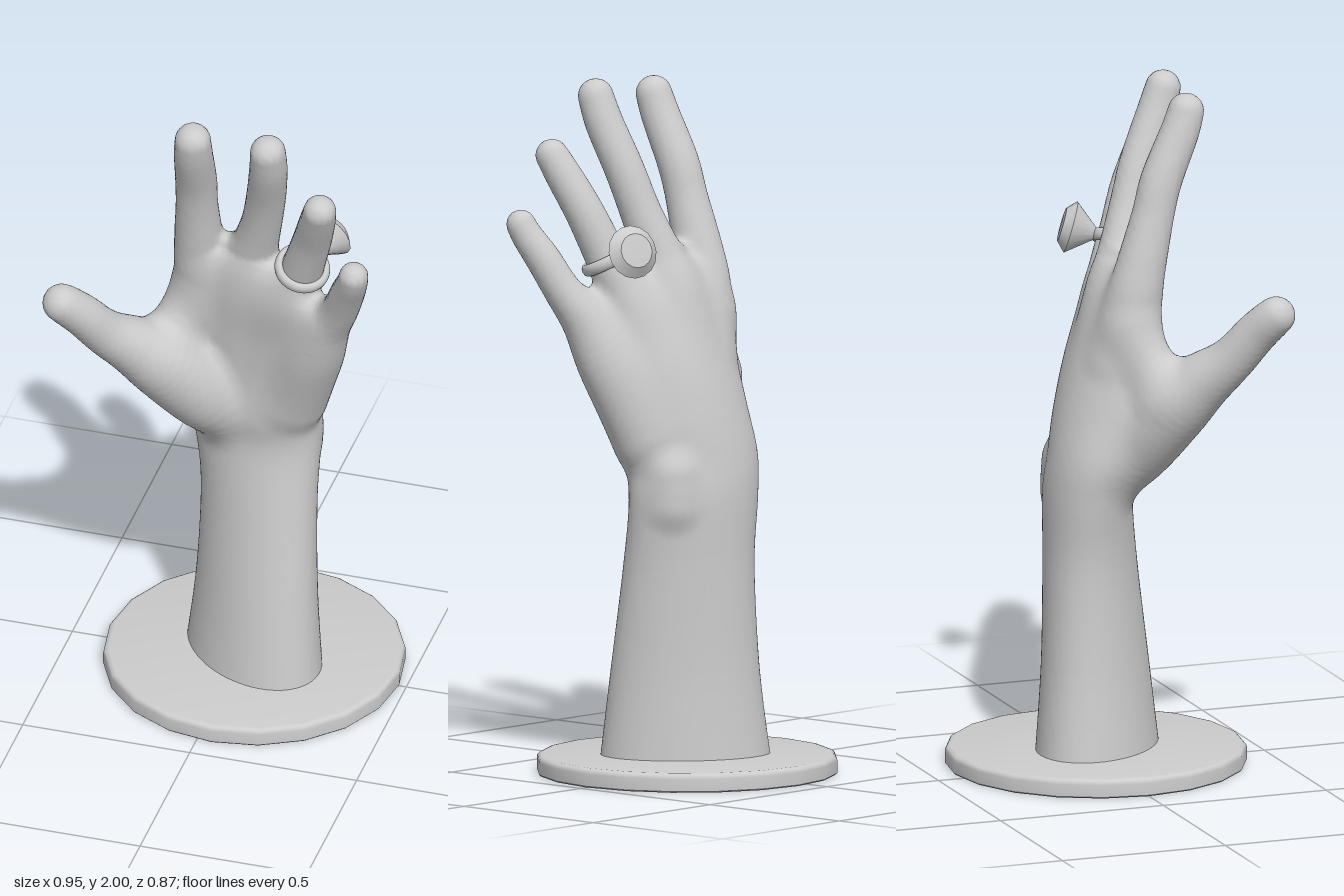
import * as THREE from 'three';
import { toCreasedNormals } from 'three/addons/utils/BufferGeometryUtils.js';

const material = new THREE.MeshStandardMaterial({ color: 0xcccccc });

// Forearm, wrist and palm as level sections: y, centre x, half width, centre z, half depth, skew, arch
const ARM = [
  [0.02, 0.047, 0.219, 0.005, 0.192, 0.075, 0],
  [0.3, 0.054, 0.193, 0, 0.165, 0.062, 0],
  [0.6, 0.055, 0.183, -0.015, 0.143, 0.045, 0],
  [0.8, 0.046, 0.198, -0.025, 0.133, 0.033, 0],
  [0.92, 0.035, 0.208, -0.011, 0.135, 0.033, 0.01],
  [1.05, 0.055, 0.222, 0.006, 0.125, 0.035, 0.025],
  [1.2, 0.075, 0.245, 0.034, 0.111, 0.042, 0.05],
  [1.34, 0.075, 0.225, 0.07, 0.096, 0.05, 0.045],
  [1.43, 0.058, 0.17, 0.087, 0.074, 0.035, 0.03],
  [1.48, 0.047, 0.11, 0.092, 0.048, 0.02, 0.015],
  [1.5, 0.045, 0.05, 0.092, 0.022, 0.01, 0]
];

// Rounded limbs merged into the palm: x, y, z, radius from root to tip
const LIMBS = {
  indexFinger: [
    [-0.07, 1.22, 0.03, 0.07], [-0.092, 1.38, 0.06, 0.079], [-0.095, 1.5, 0.087, 0.071], [-0.09, 1.64, 0.124, 0.061],
    [-0.084, 1.74, 0.152, 0.06], [-0.075, 1.87, 0.21, 0.056], [-0.07, 1.934, 0.233, 0.052]],
  middleFinger: [
    [0.03, 1.2, 0.03, 0.07], [0.045, 1.38, 0.055, 0.079], [0.072, 1.5, 0.09, 0.068], [0.105, 1.62, 0.127, 0.059],
    [0.13, 1.74, 0.166, 0.057], [0.153, 1.87, 0.222, 0.055], [0.16, 1.948, 0.25, 0.051]],
  ringFinger: [
    [0.12, 1.15, 0.045, 0.07], [0.175, 1.33, 0.085, 0.074], [0.212, 1.43, 0.117, 0.066], [0.24, 1.52, 0.15, 0.06],
    [0.275, 1.63, 0.19, 0.056], [0.305, 1.73, 0.24, 0.052], [0.322, 1.791, 0.273, 0.047]],
  littleFinger: [
    [0.185, 0.98, 0.043, 0.087], [0.252, 1.18, 0.108, 0.087], [0.31, 1.32, 0.155, 0.068], [0.36, 1.41, 0.197, 0.054],
    [0.395, 1.5, 0.24, 0.05], [0.42, 1.565, 0.278, 0.045], [0.43, 1.6, 0.295, 0.042]],
  thumb: [
    [-0.03, 0.86, 0, 0.085], [-0.078, 0.96, 0.065, 0.116], [-0.172, 1.09, 0.143, 0.114], [-0.25, 1.175, 0.212, 0.086],
    [-0.317, 1.25, 0.277, 0.067], [-0.37, 1.335, 0.332, 0.061], [-0.405, 1.38, 0.363, 0.058], [-0.42, 1.398, 0.377, 0.055]],
  thumbWeb: [[-0.19, 1.13, 0.12, 0.07], [-0.11, 1.31, 0.06, 0.065]],
  wristBone: [[0.165, 0.79, -0.055, 0.055], [0.165, 0.88, -0.05, 0.06]]
};

// Catmull-Rom interpolation of every column in a table of rows
function smoothRows(rows, steps) {
  const out = [];
  const last = rows.length - 1;
  for (let k = 0; k <= last * steps; k++) {
    const i = Math.min(Math.floor(k / steps), last - 1);
    const t = k / steps - i;
    const [a, b, c, d] = [i - 1, i, i + 1, i + 2].map(n => rows[Math.max(0, Math.min(last, n))]);
    out.push(b.map((p, n) => p + 0.5 * t * (c[n] - a[n]
      + t * (2 * a[n] - 5 * p + 4 * c[n] - d[n]
      + t * (3 * (p - c[n]) + d[n] - a[n])))));
  }
  return out;
}

// Distance to the skewed, arched oval section at height y
function armDistance(rows, x, y, z) {
  const top = rows[rows.length - 1][0];
  let i = 0;
  while (i < rows.length - 2 && rows[i + 1][0] < y) i++;
  const t = THREE.MathUtils.clamp((y - rows[i][0]) / (rows[i + 1][0] - rows[i][0]), 0, 1);
  const [cx, hx, cz, hz, skew, arch] = [1, 2, 3, 4, 5, 6].map(n => rows[i][n] + t * (rows[i + 1][n] - rows[i][n]));
  const u = (x - cx) / hx;
  const v = (z - cz - skew * u - arch * u * u) / hz;
  const r = Math.max(Math.hypot(u, v), 1e-3);
  const slope = Math.hypot((u - v * (skew + 2 * arch * u) / hz) / (hx * r), v / (hz * r));
  return Math.max((r - 1) / Math.max(slope, 1), y - top);
}

// Distance to a chain of tapered round segments
function limbDistance(rows, x, y, z) {
  let best = Infinity;
  for (let i = 0; i < rows.length - 1; i++) {
    const a = rows[i], b = rows[i + 1];
    const dx = b[0] - a[0], dy = b[1] - a[1], dz = b[2] - a[2];
    const px = x - a[0], py = y - a[1], pz = z - a[2];
    const t = Math.max(0, Math.min(1, (px * dx + py * dy + pz * dz) / (dx * dx + dy * dy + dz * dz)));
    const ex = px - t * dx, ey = py - t * dy, ez = pz - t * dz;
    best = Math.min(best, Math.sqrt(ex * ex + ey * ey + ez * ez) - a[3] - t * (b[3] - a[3]));
  }
  return best;
}

function smoothMin(a, b, k) {
  const h = Math.max(k - Math.abs(a - b), 0) / k;
  return Math.min(a, b) - h * h * k / 4;
}

// One continuous skin where the field crosses zero, built on a regular grid
function skinGeometry(field, min, size, cell) {
  const n = size.map(s => Math.ceil(s / cell) + 1);
  const stride = [1, n[0], n[0] * n[1]];
  const values = new Float32Array(n[0] * n[1] * n[2]);
  const eachNode = visit => {
    for (let k = 0; k < n[2]; k++) for (let j = 0; j < n[1]; j++) for (let i = 0; i < n[0]; i++)
      visit([i, j, k], i + j * stride[1] + k * stride[2]);
  };
  eachNode((p, id) => { values[id] = field(...p.map((q, a) => min[a] + q * cell)); });

  // One vertex per crossed cell, at the mean of its edge crossings, then drawn onto the surface
  const vertex = new Int32Array(values.length).fill(-1);
  const positions = [];
  eachNode((p, id) => {
    if (p.some((q, a) => q === n[a] - 1)) return;
    const sum = [0, 0, 0];
    let count = 0;
    for (let c = 0; c < 8; c++) {
      const bits = [c & 1, c >> 1 & 1, c >> 2];
      const from = id + bits[0] + bits[1] * stride[1] + bits[2] * stride[2];
      for (let a = 0; a < 3; a++) {
        const v0 = values[from], v1 = values[from + stride[a]];
        if (bits[a] || (v0 < 0) === (v1 < 0)) continue;
        bits.forEach((b, m) => { sum[m] += b + (m === a ? v0 / (v0 - v1) : 0); });
        count++;
      }
    }
    if (!count) return;
    const point = p.map((q, a) => min[a] + (q + sum[a] / count) * cell);
    const e = cell / 4, value = field(...point);
    const slope = point.map((_, a) => (field(...point.map((q, m) => m === a ? q + e : q)) - value) / e);
    const pull = value / Math.max(1, slope.reduce((s, g) => s + g * g, 0));
    vertex[id] = positions.length / 3;
    positions.push(...point.map((q, a) => q - slope[a] * pull));
  });

  // One quad around every crossed grid edge
  const index = [];
  eachNode((p, id) => {
    for (let a = 0; a < 3; a++) {
      const b = (a + 1) % 3, c = (a + 2) % 3;
      if (p[a] === n[a] - 1 || !p[b] || !p[c]) continue;
      const inside = values[id] < 0;
      if (inside === values[id + stride[a]] < 0) continue;
      const q = [id - stride[b] - stride[c], id - stride[c], id, id - stride[b]].map(m => vertex[m]);
      if (!inside) q.reverse();
      index.push(q[0], q[1], q[2], q[0], q[2], q[3]);
    }
  });
  const geometry = new THREE.BufferGeometry();
  geometry.setAttribute('position', new THREE.Float32BufferAttribute(positions, 3));
  geometry.setIndex(index);
  geometry.computeVertexNormals();
  return geometry;
}

function lathe(points, sides) {
  return toCreasedNormals(new THREE.LatheGeometry(points.map(p => new THREE.Vector2(...p)), sides), 0.6);
}

export function createModel() {
  const model = new THREE.Group();
  model.name = 'handRingStand';
  const add = (name, geometry) => {
    const mesh = new THREE.Mesh(geometry, material);
    mesh.name = name;
    model.add(mesh);
    return mesh;
  };

  // Round base with a softened upper edge
  const rim = [0, 1, 2, 3, 4].map(i => i * Math.PI / 8)
    .map(a => [0.418 + 0.016 * Math.cos(a), 0.039 + 0.016 * Math.sin(a)]);
  add('base', lathe([[0, 0], [0.43, 0], [0.434, 0.004], ...rim, [0, 0.055]], 20)).position.x = 0.045;

  // Forearm, palm, fingers and thumb flowing into one skin
  const arm = smoothRows(ARM, 6);
  const limbs = Object.values(LIMBS).map(rows => smoothRows(rows, 6));
  const field = (x, y, z) => limbs.reduce(
    (d, rows) => smoothMin(d, limbDistance(rows, x, y, z), 0.05), armDistance(arm, x, y, z));
  add('hand', skinGeometry(field, [-0.5, 0.03, -0.24], [1, 2, 0.7], 0.0125));

  // Ring band around the ring finger
  const band = add('ringBand', new THREE.TorusGeometry(0.068, 0.013, 12, 40));
  band.position.set(0.23, 1.49, 0.14);
  band.quaternion.setFromUnitVectors(new THREE.Vector3(0, 0, 1), new THREE.Vector3(0.28, 0.9, 0.34).normalize());
  band.scale.z = 1.4;

  // Cone-backed stone standing off the back of the band
  const stone = add('ringStone', lathe([[0, -0.095], [0.077, 0], [0.05, 0.026], [0, 0.028]], 16));
  stone.position.set(0.27, 1.53, 0.008);
  stone.quaternion.setFromUnitVectors(new THREE.Vector3(0, 1, 0), new THREE.Vector3(0.33, 0.28, -0.9).normalize());

  return model;
}
